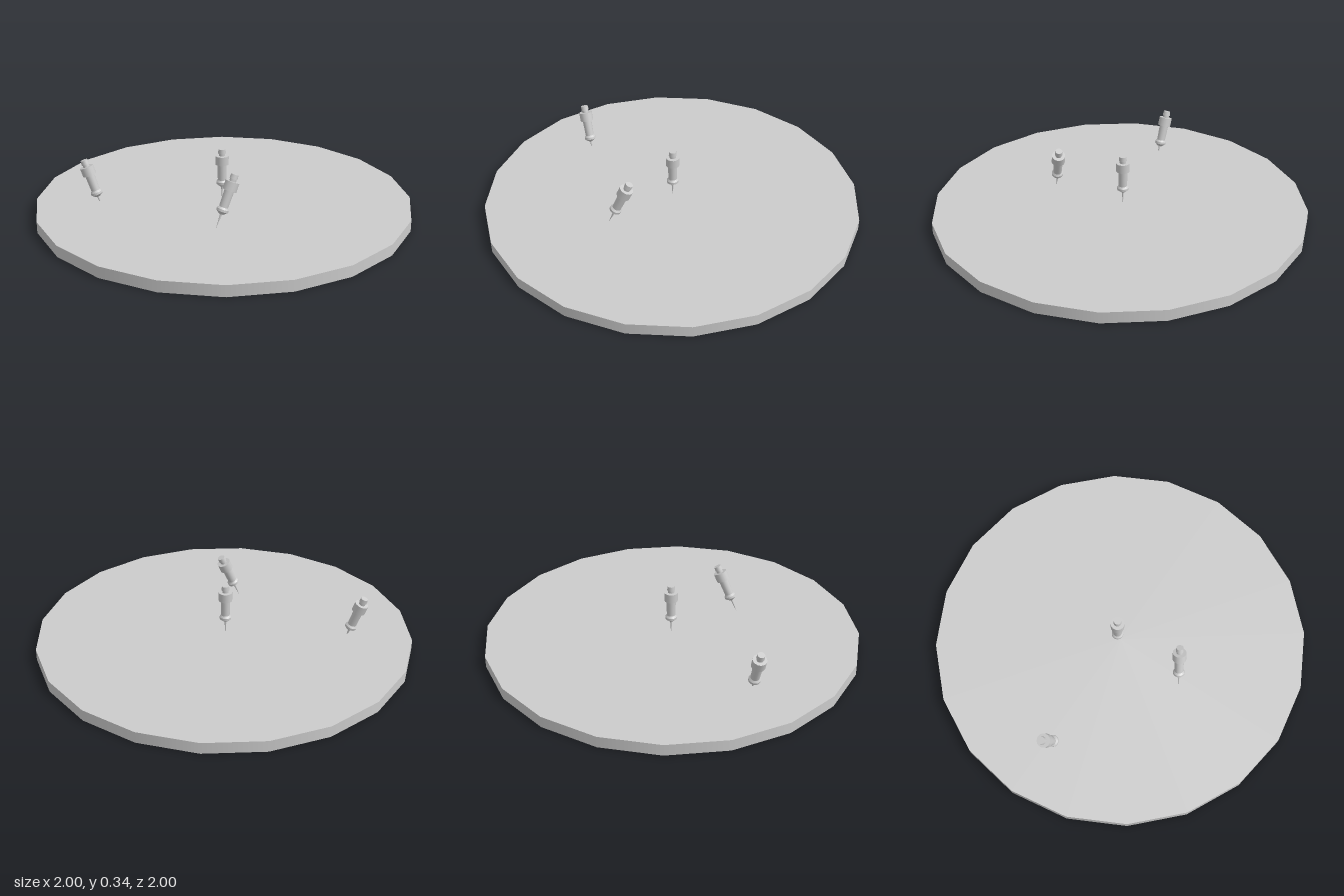
import * as THREE from 'three';

const material = new THREE.MeshStandardMaterial({ color: 0xcccccc });

// name, bottom y, top y, bottom radius, top radius (measured from the needle tip)
const SECTIONS = [
  ['needle', 0, 0.08, 0.0005, 0.006],
  ['nose', 0.075, 0.09, 0.012, 0.031],
  ['flange', 0.09, 0.102, 0.031, 0.031],
  ['shoulder', 0.102, 0.112, 0.031, 0.023],
  ['grip', 0.112, 0.2, 0.023, 0.025],
  ['collar', 0.2, 0.248, 0.036, 0.036],
  ['capNeck', 0.248, 0.268, 0.017, 0.017],
  ['cap', 0.262, 0.285, 0.021, 0.019],
];

// One pin, standing on its tip and leaning along a direction
function createPin(name, tip, direction) {
  const pin = new THREE.Group();
  pin.name = name;
  for (const [part, y0, y1, r0, r1] of SECTIONS) {
    const mesh = new THREE.Mesh(new THREE.CylinderGeometry(r1, r0, y1 - y0, 16), material);
    mesh.name = part;
    mesh.position.y = (y0 + y1) / 2;
    pin.add(mesh);
  }
  pin.position.set(...tip);
  pin.quaternion.setFromUnitVectors(
    new THREE.Vector3(0, 1, 0),
    new THREE.Vector3(...direction).normalize()
  );
  return pin;
}

export function createModel() {
  const model = new THREE.Group();
  model.name = 'pinBoard';

  // Twenty-sided disc
  const board = new THREE.Mesh(new THREE.CylinderGeometry(1, 1, 0.06, 20), material);
  board.name = 'board';
  board.position.y = 0.03;
  model.add(board);

  // Upright centre pin and two leaning pins
  model.add(
    createPin('centrePin', [-0.015, 0.05, 0], [0, 1, 0]),
    createPin('rightPin', [0.3, 0.065, 0.27], [0, 0.91, -0.41]),
    createPin('leftPin', [-0.347, 0.016, 0.545], [-0.25, 0.945, 0.21])
  );
  return model;
}
